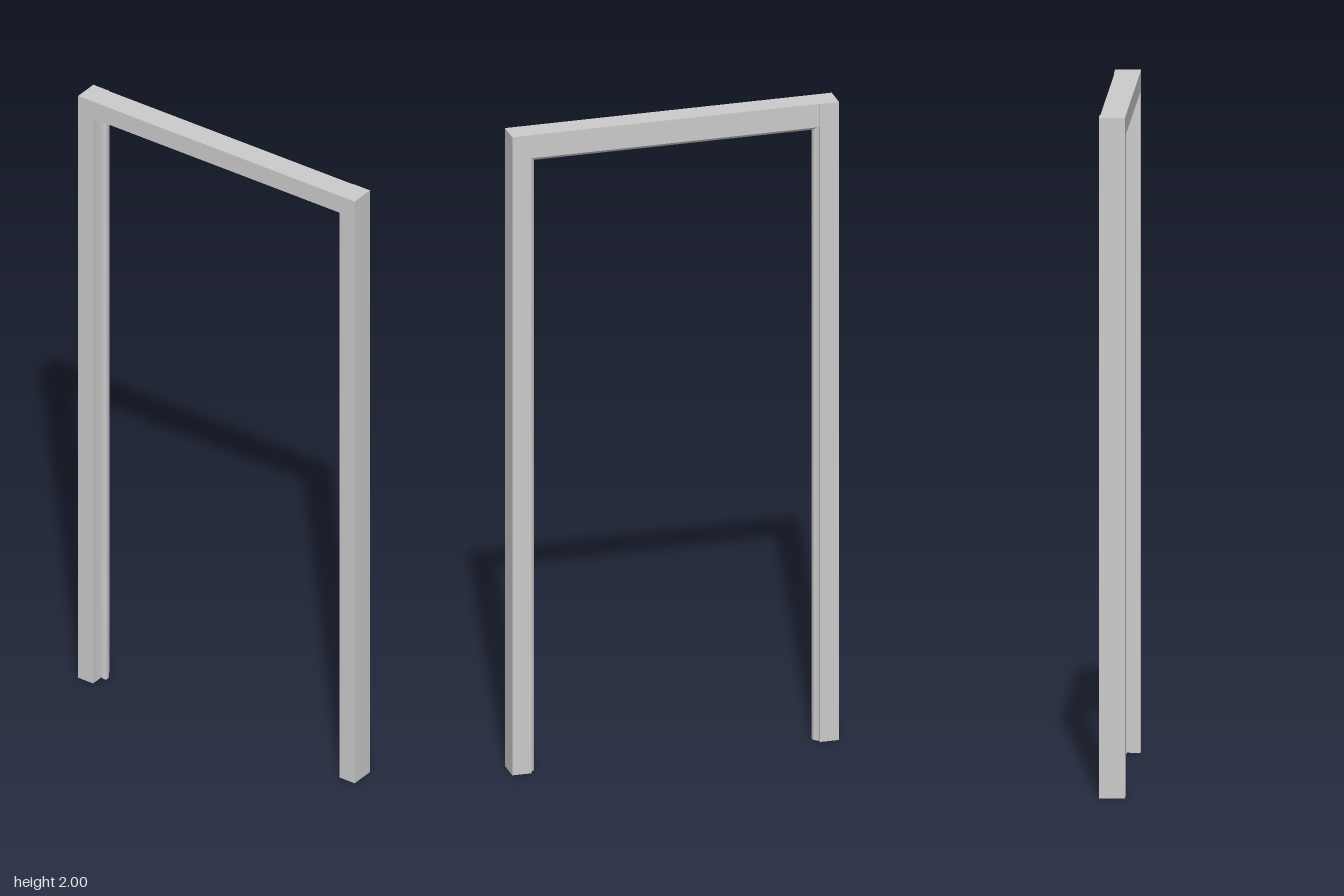
import * as THREE from 'three';
import { toCreasedNormals } from 'three/addons/utils/BufferGeometryUtils.js';

const material = new THREE.MeshStandardMaterial({ color: 0xcccccc });
const HALF_WIDTH = 0.495, HEIGHT = 2, FRONT = 0.038;

// Frame section: u runs from the outer face towards the opening, z is depth.
// place(u, z) maps the section onto the 2D plane of the extrusion.
function section({ wall, tip, backEdge, back }, place) {
  const s = new THREE.Shape();
  const p = (u, z) => place(u, z);
  s.moveTo(...p(0, back));
  s.lineTo(...p(0, FRONT));
  s.lineTo(...p(wall, FRONT));
  // rebate wall, then a narrow groove beside the stop
  s.lineTo(...p(wall, 0));
  s.quadraticCurveTo(...p(wall, -0.006), ...p(wall + 0.003, -0.006));
  s.lineTo(...p(wall + 0.005, 0));
  // stop with a rounded nose, curving away to the back face
  s.lineTo(...p(tip - 0.003, 0));
  s.quadraticCurveTo(...p(tip, 0), ...p(tip, -0.004));
  s.lineTo(...p(tip, -0.012));
  s.bezierCurveTo(...p(tip, -0.022), ...p(backEdge, -0.022), ...p(backEdge, -0.032));
  s.lineTo(...p(backEdge, back));
  s.closePath();
  return s;
}

function extrude(shape, depth) {
  return new THREE.ExtrudeGeometry(shape, { depth, bevelEnabled: false, curveSegments: 8 });
}

function addPart(group, name, geometry) {
  const mesh = new THREE.Mesh(toCreasedNormals(geometry, 0.6), material);
  mesh.name = name;
  group.add(mesh);
}

export function createModel() {
  const group = new THREE.Group();
  group.name = 'doorFrame';

  // Upright jambs, mirrored about x = 0
  const jamb = { wall: 0.054, tip: 0.073, backEdge: 0.058, back: -0.038 };
  for (const [name, side] of [['leftJamb', 1], ['rightJamb', -1]]) {
    const shape = section(jamb, (u, z) => [side * (HALF_WIDTH - u), -z]);
    addPart(group, name, extrude(shape, HEIGHT).rotateX(-Math.PI / 2));
  }

  // Header between the jambs, its back set in slightly
  const header = { wall: 0.058, tip: 0.088, backEdge: 0.073, back: -0.036 };
  const half = 0.445;
  const shape = section(header, (u, z) => [-z, HEIGHT - u]);
  addPart(group, 'header', extrude(shape, 2 * half).rotateY(Math.PI / 2).translate(-half, 0, 0));

  return group;
}
